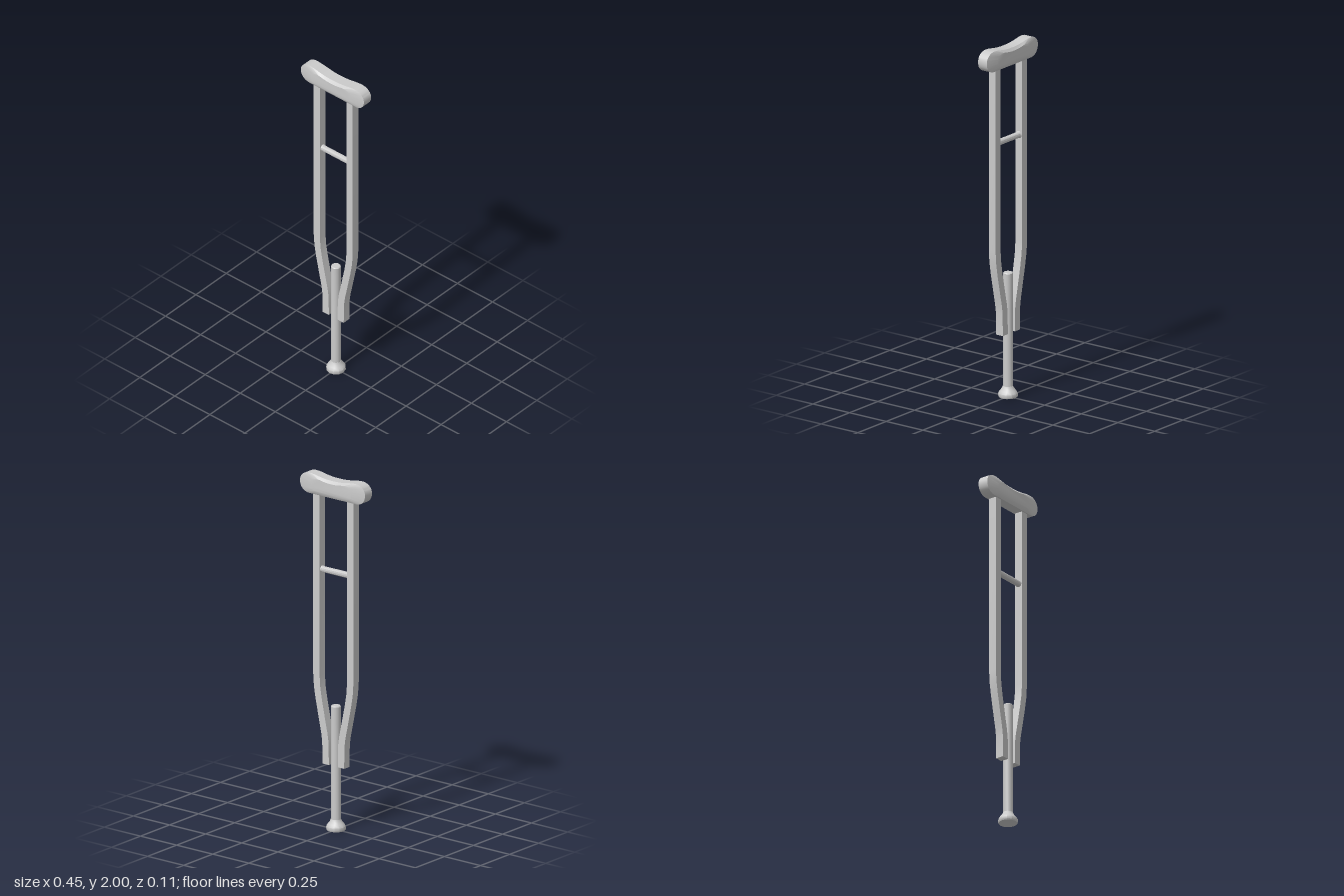
import * as THREE from 'three';
import { toCreasedNormals } from 'three/addons/utils/BufferGeometryUtils.js';

const material = new THREE.MeshStandardMaterial({ color: 0xcccccc });

function addMesh(parent, geometry, name) {
  const mesh = new THREE.Mesh(geometry, material);
  mesh.name = name;
  parent.add(mesh);
  return mesh;
}

// Side rail: a constant-width bar following a bent centreline, side = 1 or -1
function railGeometry(side) {
  const line = [[0.117, 1.9], [0.117, 0.86], [0.112, 0.79], [0.1, 0.72], [0.075, 0.6],
    [0.062, 0.54], [0.055, 0.49], [0.053, 0.365]];
  const half = 0.022;
  const outer = line.map(([x, y]) => new THREE.Vector2(side * (x + half), y));
  const inner = line.map(([x, y]) => new THREE.Vector2(side * (x - half), y));
  const shape = new THREE.Shape([...outer, ...inner.reverse()]);
  const geometry = new THREE.ExtrudeGeometry(shape, { depth: 0.046, bevelEnabled: false });
  geometry.translate(0, 0, -0.023);
  return toCreasedNormals(geometry, 0.5);
}

// Underarm pad: saddle outline, with cushioned faces tapering to a smaller flat cap
function padGeometry() {
  const outline = new THREE.Shape();
  outline.moveTo(-0.16, 1.885);
  outline.lineTo(0.16, 1.885);
  outline.bezierCurveTo(0.2, 1.885, 0.225, 1.91, 0.225, 1.945);
  outline.bezierCurveTo(0.225, 1.98, 0.195, 2.0, 0.16, 2.0);
  outline.bezierCurveTo(0.11, 2.0, 0.09, 1.984, 0, 1.984);
  outline.bezierCurveTo(-0.09, 1.984, -0.11, 2.0, -0.16, 2.0);
  outline.bezierCurveTo(-0.195, 2.0, -0.225, 1.98, -0.225, 1.945);
  outline.bezierCurveTo(-0.225, 1.91, -0.2, 1.885, -0.16, 1.885);
  const points = outline.getPoints(10);
  points.pop();
  const n = points.length;
  const cy = 1.941;
  const positions = [];
  const index = [];
  // Rings from back to front: [scale, z]
  const rings = [[0.64, -0.043], [1, -0.03], [1, 0.03], [0.64, 0.043]];
  for (const [s, z] of rings) {
    for (const p of points) positions.push(p.x * s, cy + (p.y - cy) * s, z);
  }
  for (let r = 0; r < rings.length - 1; r++) {
    for (let i = 0; i < n; i++) {
      const a = r * n + i, b = r * n + (i + 1) % n;
      index.push(a, b, b + n, a, b + n, a + n);
    }
  }
  const last = (rings.length - 1) * n;
  for (const [a, b, c] of THREE.ShapeUtils.triangulateShape(points, [])) {
    index.push(last + a, last + b, last + c, a, c, b);
  }
  const geometry = new THREE.BufferGeometry();
  geometry.setAttribute('position', new THREE.Float32BufferAttribute(positions, 3));
  geometry.setIndex(index);
  return toCreasedNormals(geometry, 0.6);
}

// Round parts turned from a [radius, height] profile
function turned(profile, sides) {
  const points = profile.map(([r, y]) => new THREE.Vector2(r, y));
  return toCreasedNormals(new THREE.LatheGeometry(points, sides), 0.6);
}

export function createModel() {
  const crutch = new THREE.Group();
  crutch.name = 'crutch';

  addMesh(crutch, padGeometry(), 'underarmPad');
  addMesh(crutch, railGeometry(1), 'leftRail');
  addMesh(crutch, railGeometry(-1), 'rightRail');

  // Hand grip, slightly flared where it meets the rails
  const grip = addMesh(crutch, turned([[0, -0.098], [0.021, -0.098], [0.017, -0.088],
    [0.017, 0.088], [0.021, 0.098], [0, 0.098]], 12), 'handGrip');
  grip.rotation.z = Math.PI / 2;
  grip.position.y = 1.46;

  // Lower post between the rails
  addMesh(crutch, turned([[0, 0.04], [0.027, 0.04], [0.027, 0.7], [0.023, 0.705], [0, 0.705]], 12), 'lowerPost');

  // Flared rubber tip
  addMesh(crutch, turned([[0, 0], [0.051, 0], [0.054, 0.006], [0.053, 0.022], [0.044, 0.036],
    [0.034, 0.048], [0.028, 0.062], [0, 0.062]], 12), 'footTip');

  return crutch;
}
